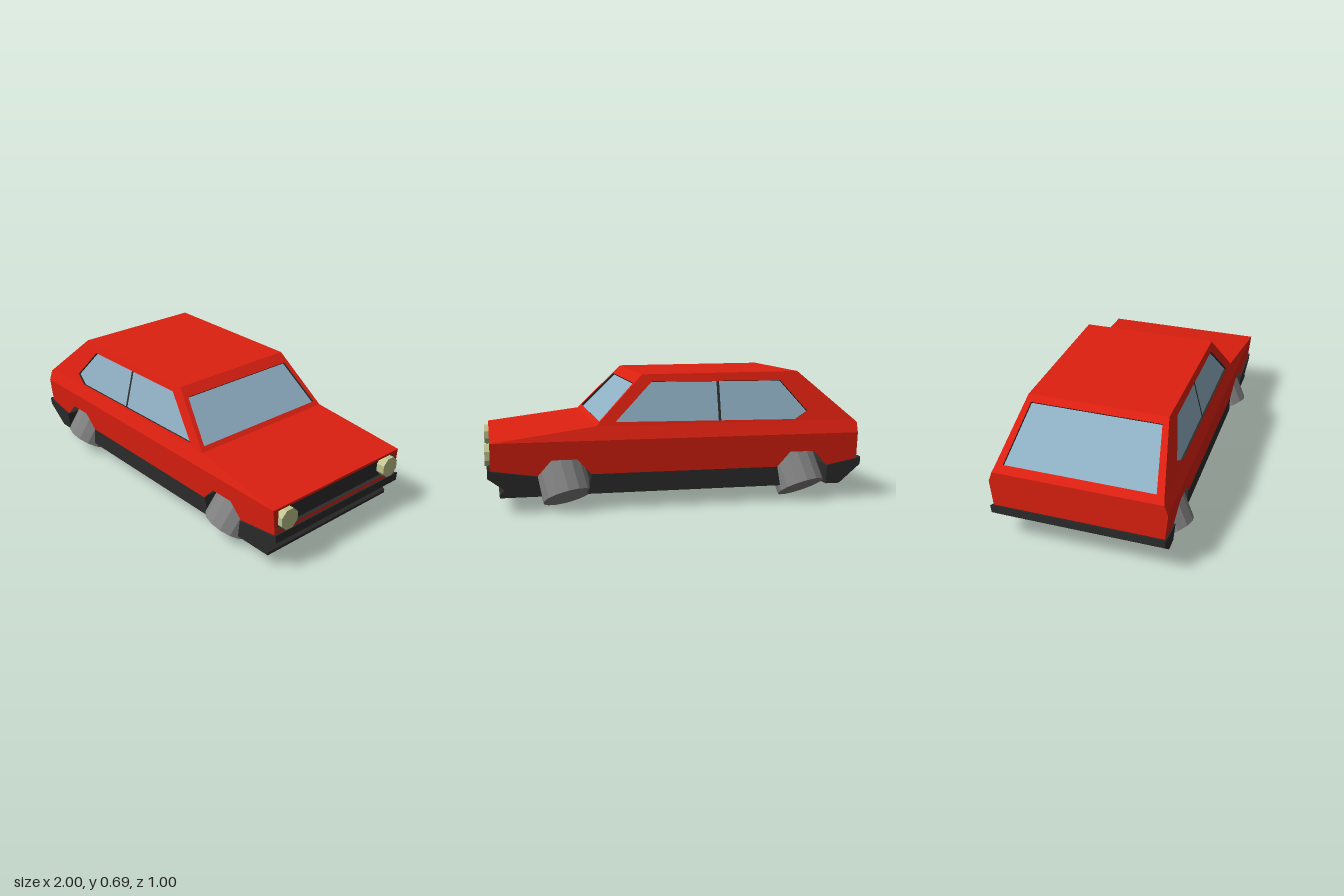
import * as THREE from 'three';

const V = (x, y, z) => new THREE.Vector3(x, y, z);
const mat = (color) => new THREE.MeshStandardMaterial({ color, flatShading: true, side: THREE.DoubleSide });

export function createModel() {
  const car = new THREE.Group();
  car.name = 'car';
  const red = mat(0xdd2010), trim = mat(0x2c2c2c), glass = mat(0x8fb0c4);
  const rubber = mat(0x828282), lamp = mat(0xc0c48e);

  const add = (name, geometry, material) => {
    const mesh = new THREE.Mesh(geometry, material);
    mesh.name = name;
    car.add(mesh);
    return mesh;
  };

  // Flat polygon in space, with an optional hole, facing the outward direction
  function flat(outline, hole, out) {
    const n = V(0, 0, 0);
    outline.forEach((p, i) => n.add(p.clone().cross(outline[(i + 1) % outline.length])));
    n.normalize();
    const u = outline[1].clone().sub(outline[0]).normalize();
    const v = n.clone().cross(u);
    const to2 = (p) => new THREE.Vector2(p.dot(u), p.dot(v));
    const faces = THREE.ShapeUtils.triangulateShape(outline.map(to2), hole ? [hole.map(to2)] : []);
    const all = hole ? outline.concat(hole) : outline;
    const pts = [];
    for (const [a, b, c] of faces) {
      const tn = all[b].clone().sub(all[a]).cross(all[c].clone().sub(all[a]));
      pts.push(all[a], ...(tn.dot(out) > 0 ? [all[b], all[c]] : [all[c], all[b]]));
    }
    const g = new THREE.BufferGeometry().setFromPoints(pts);
    g.computeVertexNormals();
    return g;
  }

  // Body panel with a recessed pane and dark reveal around it
  function windowPanel(name, outline, hole, out, paneMaterial, depth = 0.012) {
    add(name + 'Panel', flat(outline, hole, out), red);
    const n = hole[1].clone().sub(hole[0]).cross(hole[2].clone().sub(hole[0])).normalize();
    if (n.dot(out) < 0) n.negate();
    const inner = hole.map((p) => p.clone().addScaledVector(n, -depth));
    add(name + 'Pane', flat(inner, null, out), paneMaterial);
    const mid = hole.reduce((s, p) => s.add(p), V(0, 0, 0)).divideScalar(hole.length);
    hole.forEach((p, i) => {
      const j = (i + 1) % hole.length;
      const inward = mid.clone().sub(p.clone().add(hole[j]).multiplyScalar(0.5));
      add(name + 'Reveal', flat([p, hole[j], inner[j], inner[i]], null, inward), trim);
    });
  }

  // Half width of the body by height
  const widths = [[0.19, 0.438], [0.365, 0.455], [0.435, 0.43], [0.695, 0.363]];
  function halfWidth(y) {
    let i = 0;
    while (i < 2 && y > widths[i + 1][0]) i++;
    const [y0, w0] = widths[i], [y1, w1] = widths[i + 1];
    return w0 + (w1 - w0) * (y - y0) / (y1 - y0);
  }

  // Body sides: lower flank with wheel arches, shoulder, and window panel
  const flank = [[-0.98, 0.22], [-0.81, 0.19], [-0.73, 0.27], [-0.6, 0.27], [-0.53, 0.19],
    [0.465, 0.19], [0.54, 0.27], [0.67, 0.27], [0.74, 0.19], [0.975, 0.225], [0.975, 0.365], [-0.98, 0.365]];
  const shoulder = [[-0.98, 0.365], [0.975, 0.365], [0.44, 0.435], [-0.963, 0.435], [-0.98, 0.42]];
  const upper = [[-0.963, 0.435], [0.44, 0.435], [0.19, 0.69], [-0.66, 0.695]];
  const sideWindow = [[-0.7, 0.485], [-0.63, 0.443], [0.34, 0.453], [0.14, 0.653], [-0.56, 0.648]];
  for (const s of [1, -1]) {
    const onSide = (list) => list.map(([x, y]) => V(x, y, s * halfWidth(y)));
    const out = V(0, 0, s);
    add('flank', flat(onSide(flank), null, out), red);
    add('shoulder', flat(onSide(shoulder), null, out), red);
    windowPanel('sideWindow', onSide(upper), onSide(sideWindow), out, glass);
    const post = onSide([[-0.222, 0.446], [-0.208, 0.446], [-0.208, 0.651], [-0.222, 0.651]]);
    add('windowDivider', flat(post.map((p) => p.add(V(0, 0, -0.005 * s))), null, out), trim);
  }

  // Cross panels: [x, y] points run up the centre line, mirrored over z
  const across = (line) => {
    const half = (s) => line.map(([x, y, w]) => V(x, y, s * (w ?? halfWidth(y))));
    return half(1).concat(half(-1).reverse());
  };
  add('roof', flat(across([[0.19, 0.69], [-0.66, 0.695]]), null, V(0, 1, 0)), red);
  add('hood', flat(across([[0.975, 0.365], [0.44, 0.435]]), null, V(0, 1, 0)), red);
  add('tail', flat(across([[-0.98, 0.22], [-0.98, 0.365], [-0.98, 0.42]]), null, V(-1, 0, 0)), red);
  windowPanel('windshield', across([[0.44, 0.435], [0.19, 0.69]]),
    across([[0.42, 0.4554, 0.4], [0.234, 0.645, 0.347]]), V(1, 1, 0), glass);
  windowPanel('rearWindow', across([[-0.98, 0.42], [-0.963, 0.435], [-0.66, 0.695]]),
    across([[-0.945, 0.4503, 0.388], [-0.69, 0.6692, 0.338]]), V(-1, 1, 0), glass);
  windowPanel('grille', across([[0.975, 0.225], [0.975, 0.365]]),
    across([[0.975, 0.243, 0.422], [0.975, 0.352, 0.422]]), V(1, 0, 0), trim, 0.02);

  // Bumpers, sills and floor
  function slab(name, profile, half, taper = 0) {
    const shape = new THREE.Shape(profile.map(([x, y]) => new THREE.Vector2(x, y)));
    const g = new THREE.ExtrudeGeometry(shape, { depth: 2, bevelEnabled: false }).translate(0, 0, -1);
    const p = g.attributes.position;
    for (let i = 0; i < p.count; i++) p.setZ(i, p.getZ(i) * (half + taper * (p.getY(i) - 0.085)));
    g.computeVertexNormals();
    add(name, g, trim);
  }
  slab('rearBumper', [[-1, 0.232], [-1, 0.19], [-0.885, 0.087], [-0.81, 0.087], [-0.81, 0.19], [-0.975, 0.222]], 0.437, 0.09);
  slab('frontBumper', [[0.74, 0.19], [0.72, 0.085], [0.93, 0.085], [0.93, 0.1], [0.905, 0.125],
    [0.99, 0.188], [0.99, 0.232], [0.97, 0.224]], 0.437, 0.09);
  slab('sills', [[-0.53, 0.195], [-0.55, 0.087], [0.485, 0.087], [0.465, 0.195]], 0.432, 0.04);
  slab('floor', [[-0.82, 0.19], [-0.82, 0.088], [0.74, 0.088], [0.74, 0.19]], 0.25);

  // Splayed wheels, leaning outward, and round headlights
  for (const s of [1, -1]) {
    for (const x of [-0.685, 0.585]) {
      const axis = V(0.2, 0.87, -0.44 * s).normalize();
      const wheel = add('wheel', new THREE.CylinderGeometry(0.13, 0.13, 0.25, 14).translate(0, 0.125, 0), rubber);
      wheel.quaternion.setFromUnitVectors(V(0, 1, 0), axis);
      wheel.position.set(x, 0.066, 0.385 * s);
    }
    const light = new THREE.CylinderGeometry(0.057, 0.057, 0.045, 8).rotateY(Math.PI / 8).rotateZ(-Math.PI / 2);
    add('headlight', light, lamp).position.set(0.9775, 0.298, 0.369 * s);
  }
  return car;
}
